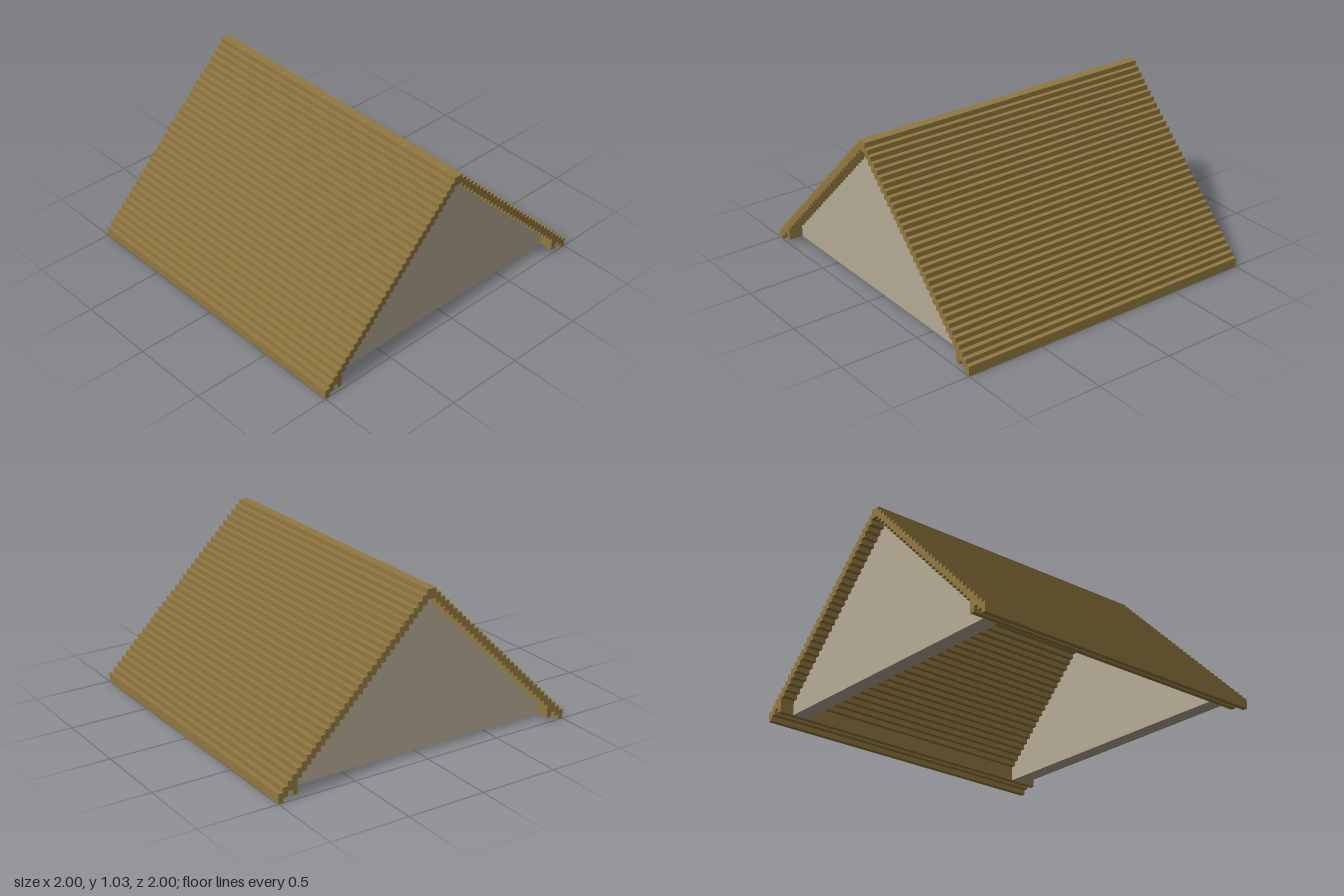
import * as THREE from 'three';

export function createModel() {
  const model = new THREE.Group();
  model.name = 'steppedRoof';

  const wood = new THREE.MeshStandardMaterial({ color: 0x937941 });
  wood.name = 'brown wood';
  const stone = new THREE.MeshStandardMaterial({ color: 0xb6ab95 });
  stone.name = 'pale plaster';

  const rows = 33;
  const step = 1 / rows;

  // Overlapping boards climbing from both eaves to the ridge
  const boardGeometry = new THREE.BoxGeometry(2, step * 2, step);
  const addBoard = (name, y, z) => {
    const board = new THREE.Mesh(boardGeometry, wood);
    board.name = name;
    board.position.set(0, y, z);
    model.add(board);
  };
  for (const side of [1, -1]) {
    const label = side > 0 ? 'front' : 'back';
    for (let i = 0; i < rows; i++) {
      addBoard(label + 'RoofBoard', (i + 1) * step, side * (1 - (i + 0.5) * step));
    }
    // Wall plate under the fourth board
    addBoard(label + 'WallPlate', 2 * step, side * (1 - 3.5 * step));
  }

  // Gable walls, set in from each end, with their slopes buried in the boards
  const half = 1 - 4 * step;
  const outline = new THREE.Shape([
    new THREE.Vector2(-half, step),
    new THREE.Vector2(half, step),
    new THREE.Vector2(half, 1.01 - half),
    new THREE.Vector2(0, 1.01),
    new THREE.Vector2(-half, 1.01 - half),
  ]);
  const thickness = 0.1;
  const gableGeometry = new THREE.ExtrudeGeometry(outline, { depth: thickness, bevelEnabled: false });
  gableGeometry.translate(0, 0, -thickness / 2).rotateY(Math.PI / 2);
  for (const side of [1, -1]) {
    const gable = new THREE.Mesh(gableGeometry, stone);
    gable.name = side > 0 ? 'leftGable' : 'rightGable';
    gable.position.x = side * 0.86;
    model.add(gable);
  }

  return model;
}
